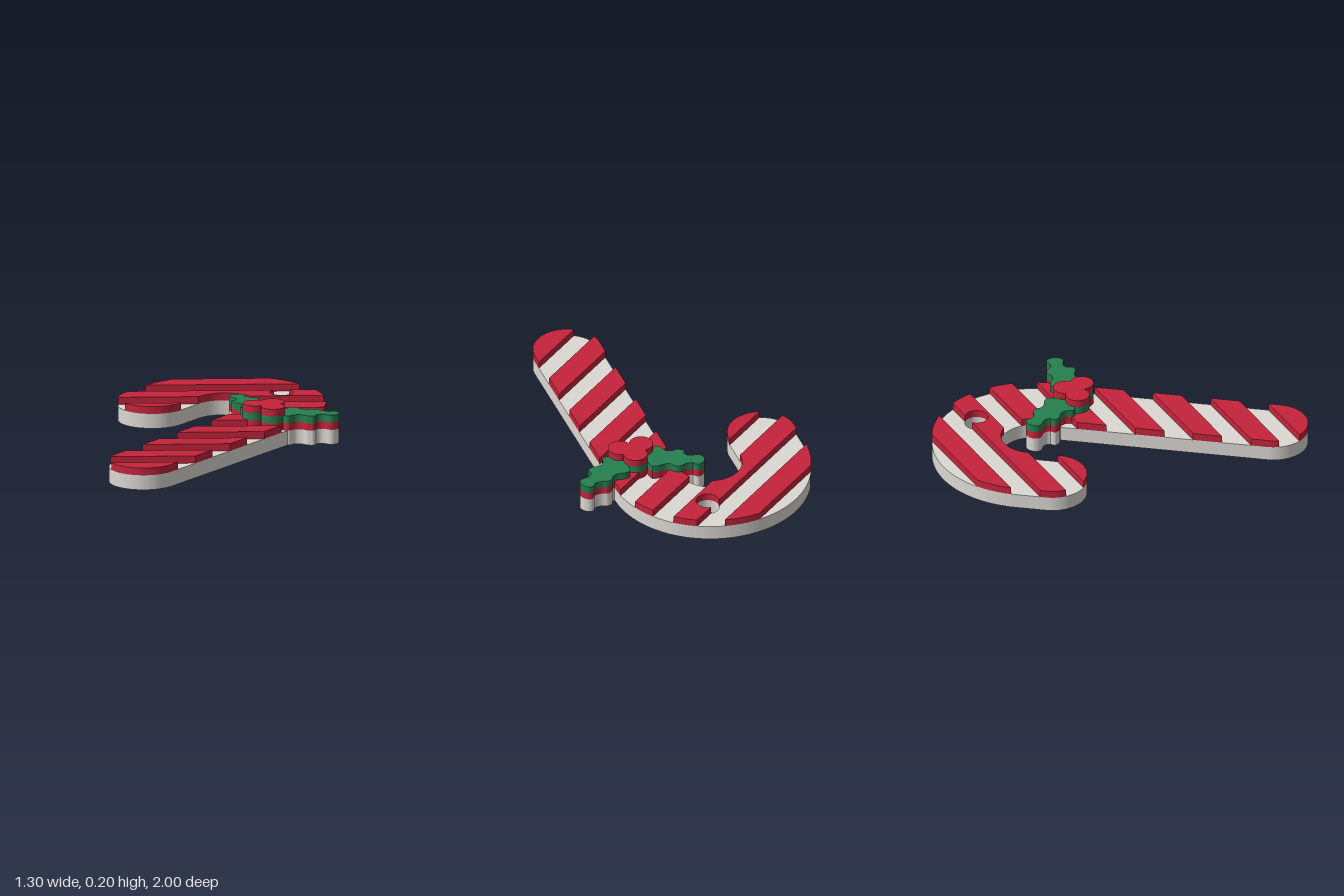
import * as THREE from 'three';

const LAYER = [0, 0.082, 0.123, 0.164, 0.204]; // heights where the colour changes
const SLOPE = 0.78; // stripe lines follow z + SLOPE * x = constant

const white = new THREE.MeshStandardMaterial({ color: 0xdcd8d3 });
white.name = 'sugarWhite';
const red = new THREE.MeshStandardMaterial({ color: 0xc4243b });
red.name = 'candyRed';
const green = new THREE.MeshStandardMaterial({ color: 0x267f50 });
green.name = 'hollyGreen';

// Flat slab whose outline is drawn in x and z
function slab(name, shape, level, material) {
  const y0 = LAYER[level], y1 = LAYER[level + 1];
  const geometry = new THREE.ExtrudeGeometry(shape, { depth: y1 - y0, bevelEnabled: false, curveSegments: 32 });
  geometry.rotateX(Math.PI / 2).translate(0, y1, 0);
  const mesh = new THREE.Mesh(geometry, material);
  mesh.name = name;
  return mesh;
}

// Hooked cane outline with round ends and a hanging hole
function caneShape() {
  const s = new THREE.Shape();
  s.moveTo(-0.65, -0.45);
  s.absarc(-0.1, -0.45, 0.55, Math.PI, 2 * Math.PI, false);
  s.lineTo(0.45, 0.8125);
  s.absarc(0.2625, 0.8125, 0.1875, 0, Math.PI, false);
  s.lineTo(0.075, -0.45);
  s.absarc(-0.1, -0.45, 0.175, 2 * Math.PI, Math.PI, true);
  s.lineTo(-0.275, -0.277);
  s.absarc(-0.4625, -0.277, 0.1875, 0, Math.PI, false);
  s.closePath();
  const hole = new THREE.Path();
  hole.absarc(0.037, -0.787, 0.063, 0, 2 * Math.PI, true);
  s.holes.push(hole);
  return s;
}

// Holly leaf outline: pointed lobes joined by hollow scallops; side mirrors it
function leafShape(side) {
  const s = new THREE.Shape();
  const X = (u) => 0.2925 + side * u;
  s.moveTo(X(0.02), -0.33);
  s.lineTo(X(0.06), -0.36);
  const curves = [ // control point, end point
    [0.05, -0.41, 0.066, -0.435], [0.09, -0.445, 0.125, -0.438],
    [0.165, -0.435, 0.175, -0.462], [0.19, -0.487, 0.218, -0.482],
    [0.245, -0.465, 0.285, -0.478], [0.297, -0.51, 0.325, -0.5],
    [0.355, -0.485, 0.358, -0.45], [0.352, -0.415, 0.325, -0.412],
    [0.275, -0.415, 0.269, -0.375], [0.285, -0.345, 0.262, -0.338],
    [0.245, -0.325, 0.222, -0.332], [0.172, -0.328, 0.17, -0.285],
    [0.165, -0.262, 0.14, -0.264], [0.11, -0.267, 0.09, -0.285],
  ];
  for (const [cu, cz, u, z] of curves) s.quadraticCurveTo(X(cu), cz, X(u), z);
  s.lineTo(X(0.02), -0.29);
  s.closePath();
  return s;
}

const bandValue = (p) => p.y + SLOPE * p.x;

// Keep the part of a convex polygon where sign * (bandValue - limit) >= 0
function clip(points, limit, sign) {
  const out = [];
  points.forEach((a, i) => {
    const b = points[(i + 1) % points.length];
    const da = sign * (bandValue(a) - limit), db = sign * (bandValue(b) - limit);
    if (da >= 0) out.push(a);
    if (da * db < 0) out.push(a.clone().lerp(b, da / (da - db)));
  });
  return out;
}

// One raised diagonal stripe, trimmed to the cane outline
function stripe(shape, start, end) {
  const y0 = LAYER[1], y1 = LAYER[2];
  const { shape: contour, holes } = shape.extractPoints(48);
  const faces = THREE.ShapeUtils.triangulateShape(contour, holes);
  const all = [contour, ...holes].flat();
  const pos = [];
  const wall = (a, b) => pos.push(
    a.x, y1, a.y, b.x, y1, b.y, b.x, y0, b.y,
    a.x, y1, a.y, b.x, y0, b.y, a.x, y0, a.y);

  // Top surface and the straight cut walls
  for (const face of faces) {
    let poly = face.map((i) => all[i]);
    if (THREE.ShapeUtils.area(poly) < 0) poly.reverse();
    poly = clip(clip(poly, start, 1), end, -1);
    if (poly.length < 3) continue;
    for (let i = 1; i < poly.length - 1; i++) {
      for (const p of [poly[0], poly[i + 1], poly[i]]) pos.push(p.x, y1, p.y);
    }
    poly.forEach((a, i) => {
      const b = poly[(i + 1) % poly.length];
      for (const limit of [start, end]) {
        if (Math.abs(bandValue(a) - limit) < 1e-7 && Math.abs(bandValue(b) - limit) < 1e-7) wall(a, b);
      }
    });
  }

  // Walls that follow the cane's rim and the hole
  for (const ring of [contour, ...holes]) {
    ring.forEach((a, i) => {
      const b = ring[(i + 1) % ring.length];
      const va = bandValue(a), vb = bandValue(b);
      if (Math.abs(vb - va) < 1e-9) {
        if (va > start && va < end) wall(a, b);
        return;
      }
      const t0 = (start - va) / (vb - va), t1 = (end - va) / (vb - va);
      const from = Math.max(0, Math.min(t0, t1)), to = Math.min(1, Math.max(t0, t1));
      if (to > from) wall(a.clone().lerp(b, from), a.clone().lerp(b, to));
    });
  }

  const geometry = new THREE.BufferGeometry();
  geometry.setAttribute('position', new THREE.Float32BufferAttribute(pos, 3));
  geometry.computeVertexNormals();
  const mesh = new THREE.Mesh(geometry, red);
  mesh.name = 'stripe';
  return mesh;
}

export function createModel() {
  const model = new THREE.Group();
  model.name = 'candyCaneOrnament';

  // White body and raised red stripes
  const cane = caneShape();
  model.add(slab('caneBody', cane, 0, white));
  const stripes = new THREE.Group();
  stripes.name = 'stripes';
  for (let i = 0; i < 8; i++) {
    const start = 1.101 - 0.32 * i;
    stripes.add(stripe(cane, start, start + 0.16));
  }
  model.add(stripes);

  // Holly leaves, layered white, red and green
  for (const side of [1, -1]) {
    const leaf = new THREE.Group();
    leaf.name = side > 0 ? 'leftLeaf' : 'rightLeaf';
    const shape = leafShape(side);
    leaf.add(slab('leafBase', shape, 0, white));
    leaf.add(slab('leafMiddle', shape, 1, red));
    leaf.add(slab('leafTop', shape, 2, green));
    model.add(leaf);
  }

  // Three berries on round pads
  const berries = new THREE.Group();
  berries.name = 'berries';
  for (const [x, z] of [[0.2925, -0.345], [0.231, -0.264], [0.354, -0.264]]) {
    const disc = new THREE.Shape();
    disc.absarc(x, z, 0.065, 0, 2 * Math.PI, false);
    berries.add(slab('berryFoot', disc, 1, red));
    berries.add(slab('berryPad', disc, 2, green));
    berries.add(slab('berry', disc, 3, red));
  }
  model.add(berries);

  return model;
}
